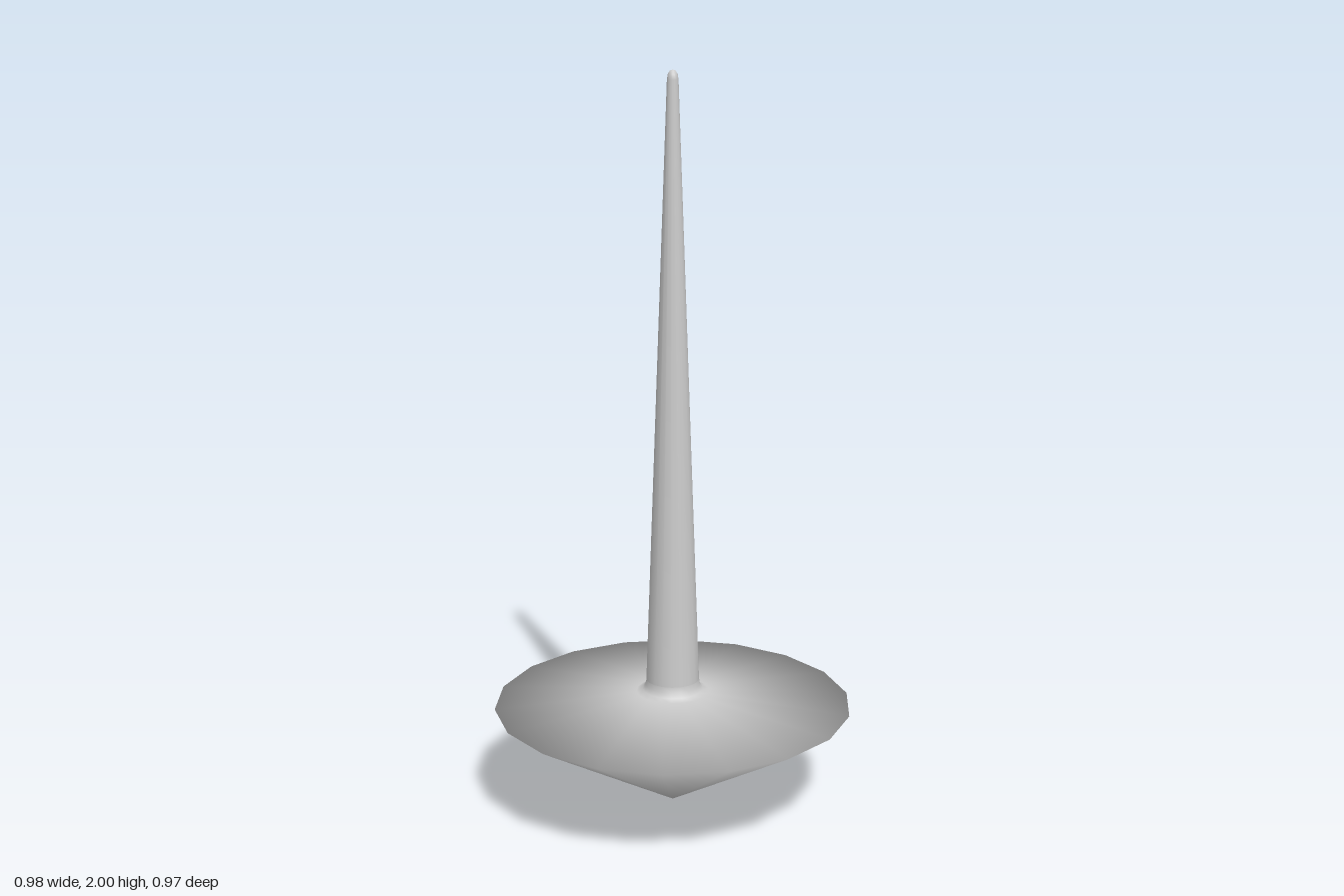
import * as THREE from 'three';

const SIDES = 18;
const material = new THREE.MeshStandardMaterial({ color: 0xcccccc });

// Smooth 18-sided turned part from a bottom-to-top [radius, height] profile
function turned(name, profile) {
  const points = profile.map(([r, y]) => new THREE.Vector2(r, y));
  const mesh = new THREE.Mesh(new THREE.LatheGeometry(points, SIDES, Math.PI / 2), material);
  mesh.name = name;
  return mesh;
}

export function createModel() {
  const group = new THREE.Group();
  group.name = 'spinningTop';

  // Conical underside, sharp rim, shallow upper cone and small fillet
  group.add(turned('body', [
    [0, 0], [0.49, 0.292], [0.1, 0.325], [0.083, 0.332], [0.075, 0.345], [0.073, 0.36],
  ]));

  // Long tapering shaft with a rounded tip
  group.add(turned('shaft', [
    [0.073, 0.36], [0.015, 1.975], [0.013, 1.988], [0.008, 1.997], [0, 2],
  ]));

  return group;
}
